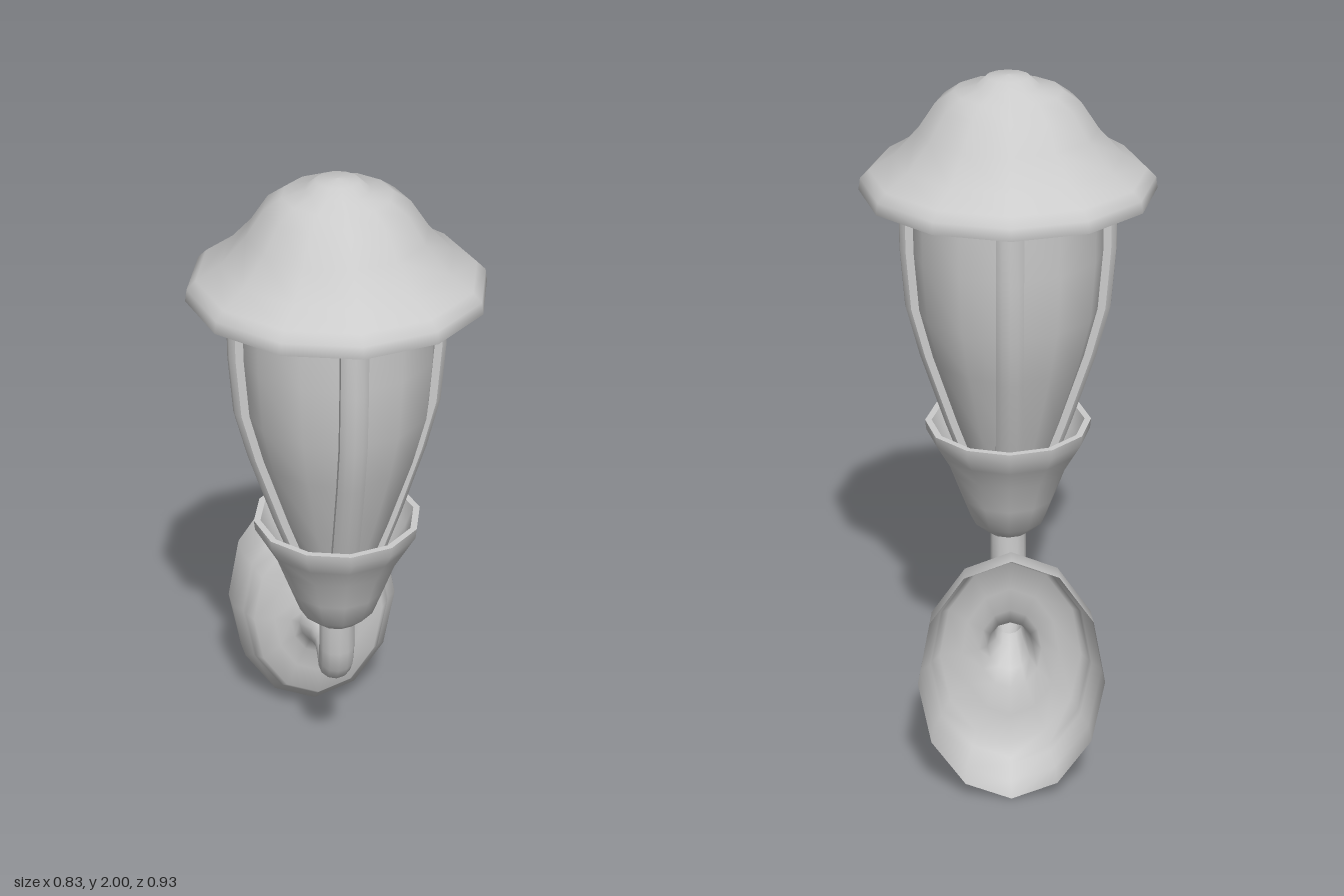
import * as THREE from 'three';
import { toCreasedNormals } from 'three/addons/utils/BufferGeometryUtils.js';

const SIDES = 12;
const AXIS_Z = 0.05; // the lantern stands a little in front of the centre
const material = new THREE.MeshStandardMaterial({ color: 0xcccccc, side: THREE.DoubleSide });

function addMesh(parent, name, geometry) {
  const mesh = new THREE.Mesh(geometry, material);
  mesh.name = name;
  parent.add(mesh);
  return mesh;
}

// Twelve-sided turned part from [radius, height] points
function turned(points) {
  return new THREE.LatheGeometry(points.map(([r, y]) => new THREE.Vector2(r, y)), SIDES);
}

// Skin over closed loops of points
function loft(loops, capped = false) {
  const n = loops[0].length;
  const index = [];
  for (let i = 0; i < loops.length - 1; i++) {
    for (let j = 0; j < n; j++) {
      const a = i * n + j, b = i * n + (j + 1) % n;
      index.push(a, b, a + n, b, b + n, a + n);
    }
  }
  if (capped) {
    const last = (loops.length - 1) * n;
    for (let j = 1; j < n - 1; j++) {
      index.push(0, j + 1, j, last, last + j, last + j + 1);
    }
  }
  const geometry = new THREE.BufferGeometry();
  geometry.setAttribute('position', new THREE.Float32BufferAttribute(loops.flat(2), 3));
  geometry.setIndex(index);
  geometry.computeVertexNormals();
  return geometry;
}

// Elliptical ring in the x plane, tilted: 0 faces down, 90 faces back
function ring([y, z, tilt, rx, ry]) {
  const a = THREE.MathUtils.degToRad(tilt);
  return Array.from({ length: SIDES }, (_, j) => {
    const t = j / SIDES * Math.PI * 2;
    const u = ry * Math.sin(t);
    return [rx * Math.cos(t), y - u * Math.sin(a), z + u * Math.cos(a)];
  });
}

export function createModel() {
  const model = new THREE.Group();
  model.name = 'wallLantern';
  const lantern = new THREE.Group();
  lantern.name = 'lantern';
  lantern.position.z = AXIS_Z;
  model.add(lantern);

  // Hollow bell-shaped roof with a small knob
  addMesh(lantern, 'roof', turned([
    [0.405, 1.67], [0.415, 1.672], [0.41, 1.705], [0.385, 1.73], [0.32, 1.77], [0.25, 1.845],
    [0.2, 1.92], [0.15, 1.955], [0.088, 1.97], [0.06, 1.995], [0, 2],
  ]));

  // Tapered glass, closed at the top
  const glass = [[0.11, 0.84], [0.155, 0.965], [0.225, 1.18], [0.262, 1.325], [0.275, 1.5], [0.275, 1.675]];
  addMesh(lantern, 'glass', toCreasedNormals(turned([...glass, [0, 1.675]]), 0.9));

  // Four ribs following the glass
  const section = [[0.038, -0.02], [0.038, 0.012], [0.022, 0.027], [0, 0.03],
    [-0.022, 0.027], [-0.038, 0.012], [-0.038, -0.02]];
  const ribGeometry = toCreasedNormals(
    loft(glass.map(([r, y]) => section.map(([x, d]) => [x, y, r + d])).reverse(), true), 0.7);
  for (let i = 0; i < 4; i++) {
    addMesh(lantern, 'rib', ribGeometry).rotation.y = i * Math.PI / 2;
  }

  // Cup that holds the glass, with an open rim
  addMesh(lantern, 'cup', toCreasedNormals(turned([
    [0, 0.605], [0.065, 0.61], [0.11, 0.65], [0.14, 0.73], [0.175, 0.825], [0.212, 0.89],
    [0.238, 0.935], [0.241, 0.965], [0.222, 0.965], [0.2, 0.91], [0.155, 0.84], [0, 0.84],
  ]), 0.9));

  // Bent arm: each ring is y, z, tilt, half width, half height
  const armEnd = [0.394, -0.14, 90, 0.037, 0.037];
  addMesh(model, 'arm', loft([
    [0.63, 0.05, 0, 0.053, 0.053],
    [0.51, 0.046, 3, 0.053, 0.051],
    [0.455, 0.036, 22, 0.052, 0.049],
    [0.418, 0.012, 50, 0.05, 0.045],
    [0.401, -0.025, 75, 0.045, 0.042],
    [0.396, -0.08, 88, 0.04, 0.038],
    armEnd,
  ].map(ring)));

  // Hollow oval wall plate, flaring out from the arm
  addMesh(model, 'wallPlate', loft([
    armEnd,
    [0.392, -0.19, 90, 0.045, 0.047],
    [0.39, -0.265, 90, 0.066, 0.078],
    [0.39, -0.285, 90, 0.09, 0.13],
    [0.389, -0.302, 90, 0.14, 0.21],
    [0.388, -0.308, 90, 0.202, 0.298],
    [0.388, -0.345, 90, 0.224, 0.328],
    [0.388, -0.362, 90, 0.23, 0.34],
    [0.388, -0.393, 90, 0.257, 0.379],
    [0.388, -0.465, 90, 0.263, 0.388],
  ].map(ring)));

  return model;
}
